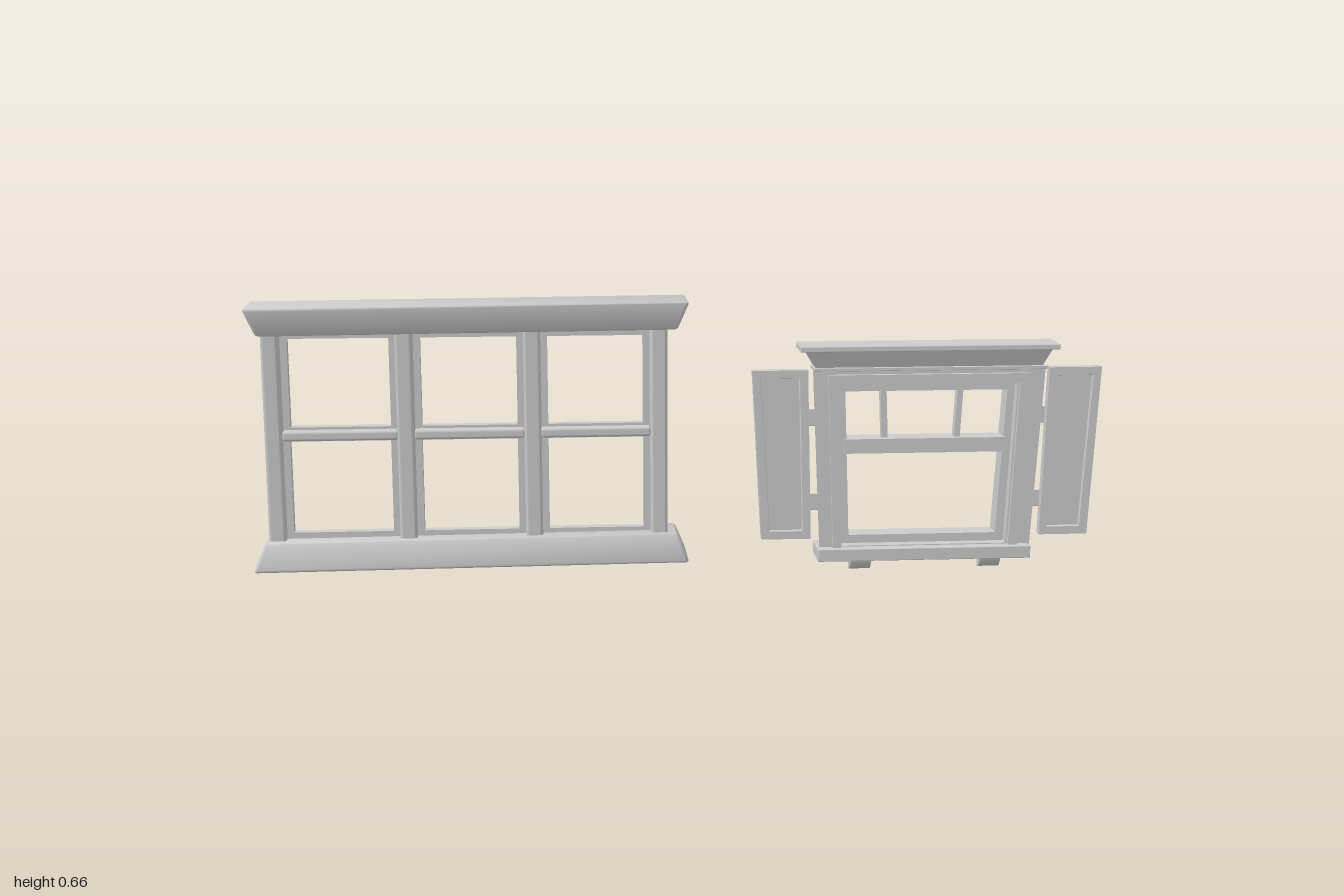
import * as THREE from 'three';
import { RoundedBoxGeometry } from 'three/addons/geometries/RoundedBoxGeometry.js';
import { mergeVertices, toCreasedNormals } from 'three/addons/utils/BufferGeometryUtils.js';

const grey = new THREE.MeshStandardMaterial({ color: 0xcccccc });

function add(parent, name, geometry) {
  const mesh = new THREE.Mesh(geometry, grey);
  mesh.name = name;
  parent.add(mesh);
  return mesh;
}

// Box given by its limits, with softened edges
function block(parent, name, x0, x1, y0, y1, z0, z1, r = 0.003) {
  const g = new RoundedBoxGeometry(x1 - x0, y1 - y0, z1 - z0, 2, r);
  g.translate((x0 + x1) / 2, (y0 + y1) / 2, (z0 + z1) / 2);
  return add(parent, name, g);
}

// Corner list of an upright trapezoid: bottom left, bottom right, top right, top left
const trap = (bl, br, tr, tl, y0, y1) => [[bl, y0], [br, y0], [tr, y1], [tl, y1]];

// Surface through a closed series of four-cornered loops [corners, z]
function loft(rings, closed) {
  const quads = [];
  const at = (ring, k) => [...ring[0][k % 4], ring[1]];
  const count = closed ? rings.length : rings.length - 1;
  for (let i = 0; i < count; i++) {
    const a = rings[i], b = rings[(i + 1) % rings.length];
    for (let k = 0; k < 4; k++) quads.push([at(a, k), at(b, k), at(b, k + 1), at(a, k + 1)]);
  }
  if (!closed) {
    const f = rings[0], b = rings[rings.length - 1];
    quads.push([0, 1, 2, 3].map(k => at(f, k)), [3, 2, 1, 0].map(k => at(b, k)));
  }
  const pos = quads.flatMap(q => [0, 1, 2, 0, 2, 3].flatMap(i => q[i]));
  const g = new THREE.BufferGeometry();
  g.setAttribute('position', new THREE.Float32BufferAttribute(pos, 3));
  g.computeVertexNormals();
  return g;
}

// Picture-frame ring between an outer and an inner trapezoid
const frame = (outer, inner, z0, z1, outerBack = outer, innerBack = inner) =>
  loft([[outer, z1], [outerBack, z0], [innerBack, z0], [inner, z1]], true);

// Wide beam whose ends and faces slope; grow = 1 is wider at the top
function slopedBeam(parent, name, y0, y1, grow) {
  const h = y1 - y0;
  let g = new RoundedBoxGeometry(1.02, h, 0.13, 3, 0.008);
  g.deleteAttribute('normal');
  g.deleteAttribute('uv');
  g = mergeVertices(g, 1e-5);
  const p = g.attributes.position;
  for (let i = 0; i < p.count; i++) {
    const t = 0.5 - grow * p.getY(i) / h;
    p.setX(i, p.getX(i) * (1 - 0.055 * t));
    p.setZ(i, p.getZ(i) * (1 - 0.2 * t));
    p.setY(i, p.getY(i) + 0.003 * p.getX(i) / 0.51);
  }
  g.translate(-0.49, (y0 + y1) / 2, 0.01);
  add(parent, name, toCreasedNormals(g, 0.6));
}

function tripleWindow() {
  const w = new THREE.Group();
  w.name = 'tripleWindow';
  slopedBeam(w, 'headBeam', 0.593, 0.66, 1);
  slopedBeam(w, 'sillBeam', 0.037, 0.106, -1);

  // Posts and the two sashes in each bay
  const posts = [-0.945, -0.64, -0.345, -0.05];
  posts.forEach(x => block(w, 'post', x - 0.02, x + 0.02, 0.09, 0.61, -0.037, 0.045, 0.008));
  for (let i = 0; i < 3; i++) {
    const a = posts[i] + 0.018, b = posts[i + 1] - 0.018;
    const sash = (name, y0, y1, z0, z1) => add(w, name, frame(
      trap(a, b, b, a, y0, y1),
      trap(a + 0.018, b - 0.018, b - 0.018, a + 0.018, y0 + 0.018, y1 - 0.018), z0, z1));
    sash('upperSash', 0.35, 0.595, -0.012, 0.01);
    sash('lowerSash', 0.1, 0.355, 0.0, 0.022);
    block(w, 'meetingRail', a, b, 0.338, 0.362, -0.016, 0.03, 0.007);
  }
  return w;
}

function shutter(parent, name, corners, hingeX) {
  const s = new THREE.Group();
  s.name = name;
  parent.add(s);
  // Inset each corner toward the middle for the recessed panel
  const cx = corners.reduce((n, c) => n + c[0], 0) / 4;
  const cy = corners.reduce((n, c) => n + c[1], 0) / 4;
  const inset = d => corners.map(([x, y]) => [x - Math.sign(x - cx) * d, y - Math.sign(y - cy) * d]);
  add(s, 'shutterFrame', frame(corners, inset(0.019), 0.039, 0.061, corners, inset(0.024)));
  add(s, 'shutterPanel', loft([[inset(0.01), 0.053], [inset(0.01), 0.039]]));
  for (const y of [0.175, 0.38]) block(s, 'hinge', hingeX - 0.018, hingeX + 0.018, y - 0.02, y + 0.02, 0.034, 0.04, 0.001);
}

function shutteredWindow() {
  const w = new THREE.Group();
  w.name = 'shutteredWindow';

  // Deep body narrowing toward the back
  const outer = trap(0.335, 0.843, 0.868, 0.312, 0.035, 0.498);
  const rear = trap(0.358, 0.815, 0.825, 0.343, 0.03, 0.494);
  const opening = trap(0.388, 0.786, 0.802, 0.376, 0.065, 0.455);
  const body = frame(outer, opening, -0.075, 0.04, rear, opening);
  const p = body.attributes.position;
  for (let i = 0; i < p.count; i++) {
    if (p.getZ(i) < 0) p.setZ(i, -0.071 - 0.007 * (p.getY(i) - 0.03) / 0.46);
  }
  body.computeVertexNormals();
  add(w, 'body', body);

  // Raised moulding around the opening
  add(w, 'casingTrim', frame(
    trap(0.366, 0.812, 0.83, 0.348, 0.055, 0.482),
    trap(0.385, 0.79, 0.806, 0.37, 0.062, 0.46), 0.035, 0.05));

  // Sash with a rail and two glazing bars
  add(w, 'sashFrame', frame(
    trap(0.38, 0.794, 0.81, 0.368, 0.058, 0.462),
    trap(0.408, 0.766, 0.784, 0.394, 0.085, 0.437), -0.035, 0.015));
  add(w, 'sashRail', loft([
    [trap(0.395, 0.782, 0.783, 0.394, 0.287, 0.322), 0.022],
    [trap(0.395, 0.782, 0.783, 0.394, 0.287, 0.322), -0.03]]));
  for (const [x, lean] of [[0.493, -0.006], [0.667, 0.006]]) {
    const bar = trap(x - 0.007, x + 0.007, x + 0.007 + lean, x - 0.007 + lean, 0.315, 0.445);
    add(w, 'glazingBar', loft([[bar, 0.006], [bar, -0.018]]));
  }

  // Crown: sloping moulding below a thin cap
  const crown = new THREE.Group();
  crown.name = 'crown';
  w.add(crown);
  const moulding = new THREE.BoxGeometry(1, 1, 1);
  const m = moulding.attributes.position;
  for (let i = 0; i < m.count; i++) {
    const up = m.getY(i) > 0, right = m.getX(i) > 0, front = m.getZ(i) > 0;
    m.setXYZ(i, right ? (up ? 0.877 : 0.856) : (up ? 0.29 : 0.318), up ? 0.545 : 0.499,
      front ? (up ? 0.069 : 0.052) : -0.005);
  }
  moulding.computeVertexNormals();
  add(crown, 'crownMoulding', moulding);
  block(crown, 'crownCap', 0.277, 0.89, 0.542, 0.555, -0.005, 0.08, 0.002);
  block(crown, 'crownBase', 0.312, 0.866, 0.493, 0.501, -0.005, 0.06, 0.001);

  // Sill on two quarter-round brackets
  block(w, 'sill', 0.328, 0.842, 0.033, 0.063, -0.025, 0.065, 0.002);
  const quarter = new THREE.Shape();
  quarter.moveTo(-0.008, 0.036);
  quarter.lineTo(-0.042, 0.036);
  quarter.quadraticCurveTo(-0.038, 0.002, -0.008, 0);
  quarter.closePath();
  for (const x of [0.41, 0.725]) {
    const g = new THREE.ExtrudeGeometry(quarter, { depth: 0.05, bevelEnabled: false, curveSegments: 8 });
    g.rotateY(Math.PI / 2);
    // shape x maps to -z, so the curve faces the front
    add(w, 'bracket', toCreasedNormals(g, 0.6)).position.x = x;
  }

  shutter(w, 'rightShutter', trap(0.192, 0.31, 0.298, 0.167, 0.09, 0.497), 0.312);
  shutter(w, 'leftShutter', trap(0.862, 0.978, 0.997, 0.872, 0.09, 0.497), 0.86);
  return w;
}

export function createModel() {
  const model = new THREE.Group();
  model.name = 'windows';
  model.add(tripleWindow(), shutteredWindow());
  return model;
}
